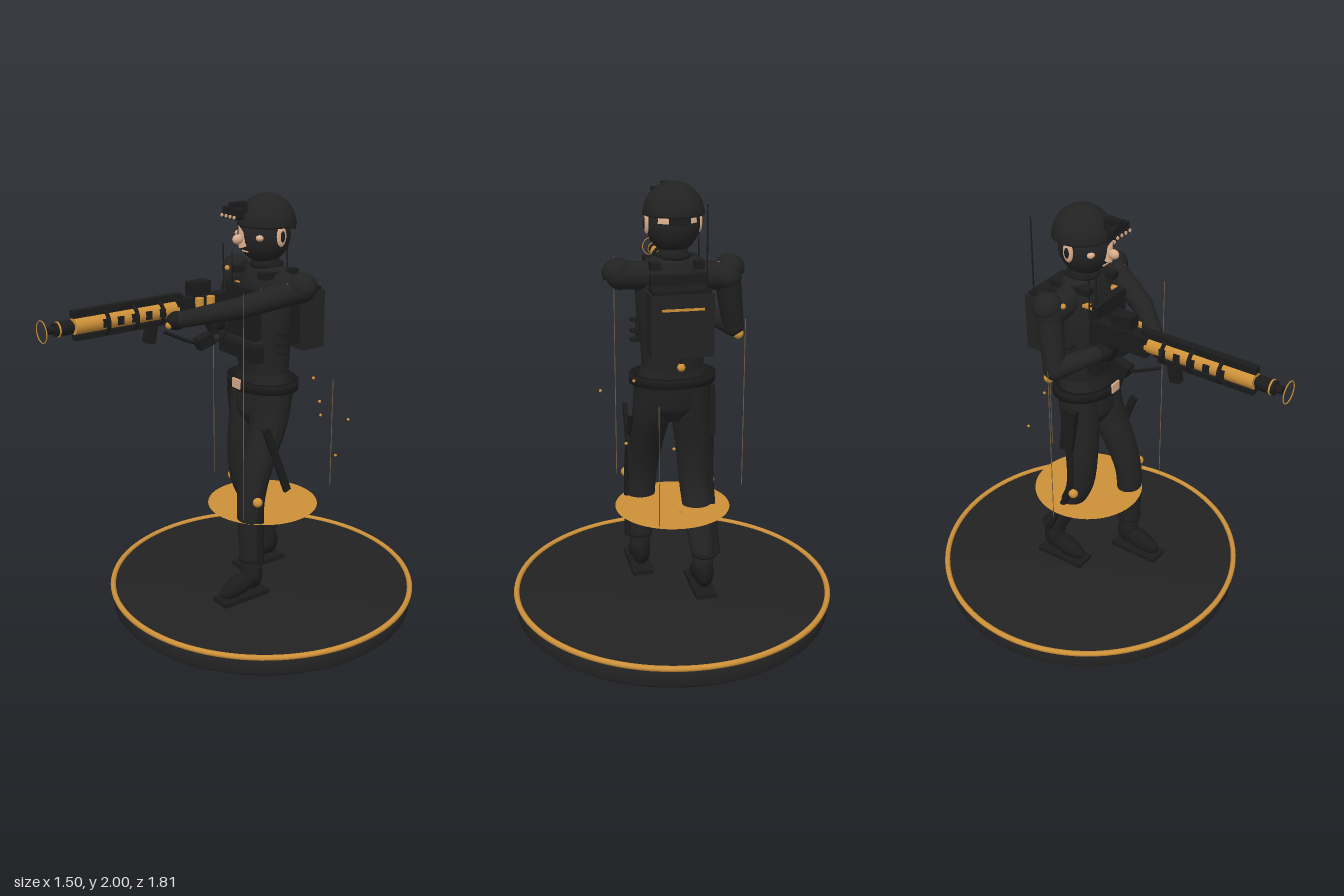
import * as THREE from 'three';

const mat = (name, color, side = THREE.FrontSide) => {
  const m = new THREE.MeshStandardMaterial({ color, side });
  m.name = name;
  return m;
};

export function createModel() {
  const root = new THREE.Group();
  root.name = 'soldierFigure';
  const dark = mat('charcoal', 0x222222, THREE.DoubleSide);
  const gear = mat('black', 0x1b1b1b);
  const gold = mat('gold', 0xcc9038, THREE.DoubleSide);
  const skin = mat('skin', 0xd8ab8a);
  const wire = mat('brown', 0x7a6248);
  const V = (p) => new THREE.Vector3(...p);

  const add = (name, geo, m, p = [0, 0, 0], rot = [0, 0, 0], s = [1, 1, 1]) => {
    const mesh = new THREE.Mesh(geo, m);
    mesh.name = name;
    mesh.position.set(...p);
    mesh.rotation.set(...rot);
    mesh.scale.set(...s);
    root.add(mesh);
    return mesh;
  };
  const box = (name, m, size, p, rot) => add(name, new THREE.BoxGeometry(...size), m, p, rot);
  const ball = (name, m, r, p, s, rot) => add(name, new THREE.SphereGeometry(r, 24, 16), m, p, rot, s);
  // tapered cylinder between two points
  const rod = (name, m, a, b, ra, rb = ra, n = 16) => {
    const d = V(b).sub(V(a));
    const mesh = add(name, new THREE.CylinderGeometry(rb, ra, d.length(), n), m);
    mesh.position.copy(V(a)).addScaledVector(d, 0.5);
    mesh.quaternion.setFromUnitVectors(new THREE.Vector3(0, 1, 0), d.normalize());
    return mesh;
  };
  const tube = (name, m, pts, r) =>
    add(name, new THREE.TubeGeometry(new THREE.CatmullRomCurve3(pts.map(V)), 32, r, 8), m);
  // smooth body through level ellipses [x, y, z, rx, rz], listed from top to bottom
  const loft = (name, m, rings, n = 28, steps = 24) => {
    const c = new THREE.CatmullRomCurve3(rings.map((r) => V(r.slice(0, 3))));
    const w = new THREE.CatmullRomCurve3(rings.map((r) => V([r[3], r[4], 0])));
    const pos = [], idx = [];
    for (let i = 0; i <= steps; i++) {
      const p = c.getPoint(i / steps), q = w.getPoint(i / steps);
      for (let j = 0; j < n; j++) {
        const a = (j / n) * Math.PI * 2;
        pos.push(p.x + q.x * Math.sin(a), p.y, p.z + q.y * Math.cos(a));
      }
    }
    for (let i = 0; i < steps; i++) for (let j = 0; j < n; j++) {
      const a = i * n + j, b = i * n + (j + 1) % n;
      idx.push(a, a + n, b, b, a + n, b + n);
    }
    const g = new THREE.BufferGeometry();
    g.setAttribute('position', new THREE.Float32BufferAttribute(pos, 3));
    g.setIndex(idx);
    g.computeVertexNormals();
    return add(name, g, m);
  };
  const lathe = (pts) => new THREE.LatheGeometry(pts.map((p) => new THREE.Vector2(...p)), 96);

  // display base and floating disc
  add('base', lathe([[0, 0], [0.72, 0], [0.735, 0.015], [0.735, 0.1], [0, 0.1]]), dark, [0, 0, -0.15]);
  add('baseRim', new THREE.TorusGeometry(0.735, 0.013, 10, 96), gold, [0, 0.1, -0.15], [Math.PI / 2, 0, 0]);
  add('goldDisc', new THREE.CircleGeometry(0.265, 64), gold, [0, 0.51, -0.155], [-Math.PI / 2, 0, 0]);

  // trousers
  loft('pelvis', dark, [[0, 1.21, -0.15, 0.135, 0.1], [0, 1.1, -0.147, 0.165, 0.108],
    [0, 1.0, -0.135, 0.155, 0.1], [0, 0.93, -0.13, 0.05, 0.06]]);
  const legs = {
    left: [[0.085, 1.14, -0.15, 0.085, 0.1], [0.09, 0.95, -0.115, 0.088, 0.09], [0.105, 0.78, -0.045, 0.08, 0.075],
      [0.115, 0.62, 0.002, 0.072, 0.06], [0.12, 0.45, 0.008, 0.064, 0.058], [0.125, 0.29, 0.005, 0.052, 0.05], [0.125, 0.2, 0, 0.04, 0.04]],
    right: [[-0.085, 1.14, -0.15, 0.085, 0.1], [-0.09, 0.95, -0.13, 0.088, 0.09], [-0.105, 0.78, -0.115, 0.08, 0.075],
      [-0.112, 0.6, -0.125, 0.072, 0.063], [-0.115, 0.45, -0.19, 0.064, 0.058], [-0.12, 0.29, -0.268, 0.052, 0.05], [-0.12, 0.2, -0.28, 0.04, 0.04]],
  };
  for (const side of ['left', 'right']) {
    const rings = legs[side], s = side === 'left' ? 1 : -1, foot = s > 0 ? 0 : -0.285;
    loft(side + 'Leg', dark, rings);
    ball(side + 'Boot', gear, 1, [s * 0.122, 0.185, foot + 0.065], [0.045, 0.048, 0.12], [0.28, 0, 0]);
    ball(side + 'Ankle', gear, 1, [s * 0.122, 0.215, foot], [0.045, 0.075, 0.055]);
    box(side + 'Sole', gear, [0.1, 0.022, 0.26], [s * 0.122, 0.121, foot + 0.06]);
    add(side + 'AnkleStrap', new THREE.TorusGeometry(0.05, 0.011, 8, 28), gear,
      [s * 0.125, 0.31, foot + 0.004], [Math.PI / 2, 0, 0]);
    tube(side + 'LegBrace', gear, rings.slice(1, 6).map(([x, y, z]) => [s * 0.185, y + 0.01, z - 0.01]), 0.016);
    const knee = rings[3];
    ball(side + 'KneeJoint', gold, 0.023, [s * 0.188, knee[1], knee[2] + 0.015]);
  }
  box('holster', gear, [0.035, 0.23, 0.07], [-0.18, 0.96, -0.13], [0.1, 0, 0]);
  box('thighPlate', gear, [0.018, 0.36, 0.035], [0.195, 0.81, -0.085], [0.37, 0, 0]);

  // belt standing off the waist, with buckle
  const belt = lathe([[0.165, -0.02], [0.195, -0.02], [0.195, 0.02], [0.165, 0.02], [0.165, -0.02]]);
  add('belt', belt, gear, [0, 1.137, -0.147], [0, 0, 0], [1, 1, 0.76]);
  box('buckle', skin, [0.055, 0.045, 0.01], [0.002, 1.148, 0.003]);
  ball('beltCharm', gold, 0.018, [-0.01, 1.215, -0.285]);
  rod('charmCord', gear, [-0.01, 1.29, -0.285], [-0.01, 1.23, -0.285], 0.006);

  // torso, vest and collar
  loft('torso', dark, [[0, 1.69, -0.165, 0.05, 0.05], [0, 1.665, -0.165, 0.13, 0.075], [0, 1.58, -0.16, 0.165, 0.1],
    [0, 1.45, -0.15, 0.162, 0.118], [0, 1.3, -0.15, 0.145, 0.11], [0, 1.17, -0.152, 0.138, 0.102]]);
  box('chestPlate', gear, [0.22, 0.26, 0.04], [0, 1.47, -0.035]);
  box('backPlate', gear, [0.24, 0.3, 0.04], [0, 1.47, -0.255]);
  for (let i = 0; i < 4; i++) {
    const x = -0.108 + i * 0.072;
    box('pouch', gear, [0.062, 0.085, 0.05], [x, 1.315, -0.025]);
    box('pouchFlap', dark, [0.066, 0.022, 0.056], [x, 1.355, -0.025]);
  }
  for (const s of [-1, 1]) {
    box('vestStrap', gear, [0.045, 0.03, 0.2], [s * 0.095, 1.655, -0.16]);
    box('strapClip', gold, [0.03, 0.012, 0.05], [s * 0.1, 1.59, -0.065]);
    for (const y of [1.31, 1.35, 1.4]) box('sideBuckle', gear, [0.04, 0.012, 0.04], [s * 0.165, y, -0.13]);
  }
  rod('neck', dark, [0, 1.6, -0.165], [0, 1.74, -0.16], 0.068, 0.06, 24);
  for (const y of [1.655, 1.685]) add('collar', new THREE.TorusGeometry(0.066, 0.012, 8, 32), gear, [0, y, -0.165], [Math.PI / 2, 0, 0]);

  // arms
  const arms = {
    left: [[0.235, 1.61, -0.18], [0.125, 1.54, 0.06], [-0.065, 1.475, 0.28]],
    right: [[-0.24, 1.58, -0.17], [-0.285, 1.345, -0.12], [-0.13, 1.41, 0.03]],
  };
  for (const side of ['left', 'right']) {
    const [a, b, c] = arms[side], s = side === 'left' ? 1 : -1;
    ball(side + 'Shoulder', dark, 0.062, a);
    rod(side + 'Yoke', dark, [s * 0.1, 1.6, -0.165], a, 0.065, 0.058, 24);
    rod(side + 'UpperArm', dark, a, b, 0.059, 0.048, 24);
    ball(side + 'Elbow', dark, 0.049, b);
    rod(side + 'Forearm', dark, b, c, 0.048, 0.036, 24);
    ball(side + 'Hand', gear, 0.042, c, [0.9, 1, 1.15]);
    // tilted shoulder shell
    add(side + 'ShoulderPad', new THREE.SphereGeometry(0.065, 24, 10, 0, Math.PI * 2, 0, Math.PI / 2), dark,
      [s * 0.25, 1.625, -0.175], [0, 0, -s * 0.5], [1, 0.9, 1]);
    ball(side + 'PadRivet', gold, 0.012, [s * 0.225, 1.632, -0.108]);
  }
  ball('elbowJoint', gold, 0.024, [-0.305, 1.31, -0.135]);
  ball('handGuard', gold, 0.016, [-0.065, 1.46, 0.32]);

  // head, face and ears
  ball('head', dark, 1, [0, 1.82, -0.15], [0.117, 0.127, 0.122]);
  add('nose', new THREE.ConeGeometry(0.026, 0.1, 12), skin, [0, 1.83, -0.025], [0.35, 0, 0], [0.85, 1, 1.2]);
  ball('noseTip', skin, 0.022, [0, 1.812, -0.005], [0.9, 1, 1.2]);
  box('mouth', skin, [0.04, 0.006, 0.008], [0, 1.755, -0.046]);
  for (const s of [-1, 1]) {
    ball('cheek', skin, 0.02, [s * 0.078, 1.822, -0.066], [1, 0.7, 0.8]);
    ball('ear', skin, 1, [s * 0.115, 1.825, -0.158], [0.012, 0.046, 0.026]);
    ball('earPlug', gear, 1, [s * 0.122, 1.825, -0.158], [0.01, 0.026, 0.013]);
  }
  add('nape', new THREE.SphereGeometry(0.124, 20, 6, Math.PI * 1.5 - 0.75, 1.5, 1.17, 0.32), skin, [0, 1.825, -0.152]);

  // helmet with mount and lamps
  add('helmet', new THREE.SphereGeometry(0.132, 36, 16, 0, Math.PI * 2, 0, Math.PI / 2), dark, [0, 1.865, -0.165], [0, 0, 0], [1, 1.02, 1]);
  add('helmetRim', new THREE.TorusGeometry(0.13, 0.005, 8, 40), gear, [0, 1.867, -0.165], [Math.PI / 2, 0, 0]);
  box('helmetBack', gear, [0.09, 0.035, 0.01], [0, 1.85, -0.292]);
  box('visorMount', gear, [0.04, 0.05, 0.035], [0, 1.95, -0.025]);
  box('visorArm', gear, [0.03, 0.02, 0.06], [0, 1.965, 0.005]);
  box('visorBar', gear, [0.12, 0.035, 0.03], [0, 1.935, 0.02]);
  for (let i = 0; i < 4; i++) {
    const x = -0.045 + i * 0.03;
    rod('visorTube', gear, [x, 1.918, 0], [x, 1.918, 0.045], 0.012);
    rod('visorLens', skin, [x, 1.918, 0.045], [x, 1.918, 0.05], 0.008);
  }

  // backpack and antennas
  box('backpack', dark, [0.27, 0.27, 0.125], [0.007, 1.425, -0.332]);
  box('packLid', gear, [0.25, 0.025, 0.105], [0.007, 1.565, -0.328]);
  box('packStripe', gold, [0.18, 0.01, 0.008], [0.007, 1.5, -0.397]);
  rod('antenna', gear, [-0.1, 1.5, -0.365], [-0.1, 1.93, -0.365], 0.004, 0.003, 8);
  rod('chestAntenna', gear, [-0.145, 1.45, -0.03], [-0.145, 1.77, -0.03], 0.003, 0.003, 8);
  rod('radioAntenna', gear, [-0.085, 1.5, -0.035], [-0.085, 1.745, -0.035], 0.004, 0.003, 8);

  // rifle along z
  const gx = -0.115, gy = 1.515;
  const along = (name, m, z0, z1, r, n = 20) => rod(name, m, [gx, gy, z0], [gx, gy, z1], r, r, n);
  box('receiver', gear, [0.065, 0.095, 0.26], [gx, gy - 0.005, 0.13]);
  box('stock', gear, [0.05, 0.1, 0.1], [gx, gy - 0.02, 0.03]);
  along('handguard', gold, 0.25, 0.76, 0.035);
  box('topRail', gear, [0.035, 0.03, 0.54], [gx, 1.567, 0.495]);
  box('bottomRail', gear, [0.035, 0.022, 0.45], [gx, 1.465, 0.535]);
  for (const z of [0.34, 0.41, 0.48, 0.55, 0.62]) box('guardPanel', gear, [0.076, 0.036, 0.03], [gx, gy, z]);
  for (const z of [0.345, 0.475, 0.615]) {
    add('clampRing', new THREE.TorusGeometry(0.05, 0.009, 8, 28), gear, [gx, gy, z]);
  }
  along('barrel', gear, 0.7, 0.88, 0.017);
  along('muzzleBrake', gear, 0.77, 0.85, 0.03);
  along('muzzleBand', gold, 0.83, 0.837, 0.033);
  add('muzzleRing', new THREE.TorusGeometry(0.047, 0.0025, 6, 36), gold, [gx, gy, 0.905]);
  box('scope', gear, [0.06, 0.06, 0.1], [gx, 1.593, 0.13]);
  box('magazine', gear, [0.035, 0.1, 0.05], [gx, 1.43, 0.385], [-0.2, 0, 0]);
  box('grip', gear, [0.035, 0.11, 0.04], [gx, 1.42, 0.06], [0.3, 0, 0]);
  for (const z of [0.1, 0.16]) rod('rifleKnob', gold, [-0.06, 1.5, z], [-0.06, 1.56, z], 0.02);
  tube('sling', gear, [[gx, 1.42, 0.32], [-0.1, 1.34, 0.14], [-0.09, 1.35, 0.02], [-0.08, 1.45, -0.02]], 0.008);
  box('slingPouch', gear, [0.05, 0.055, 0.08], [-0.1, 1.345, 0.11], [0.3, 0, 0]);

  // fine hanging threads and drifting sparks
  for (const [x, z, y0, y1] of [[-0.345, -0.11, 0.56, 1.37], [0.215, 0.12, 0.57, 1.63], [0.127, -0.475, 0.56, 1.11]]) {
    rod('thread', wire, [x, y0, z], [x, y1, z], 0.002, 0.002, 6);
  }
  for (const p of [[0.265, 0.95, -0.455], [0.335, 1.11, -0.215], [0.055, 0.67, -0.57], [0.06, 0.91, -0.46], [0.2, 1.17, -0.29]]) {
    ball('spark', gold, 0.007, p);
  }
  return root;
}
